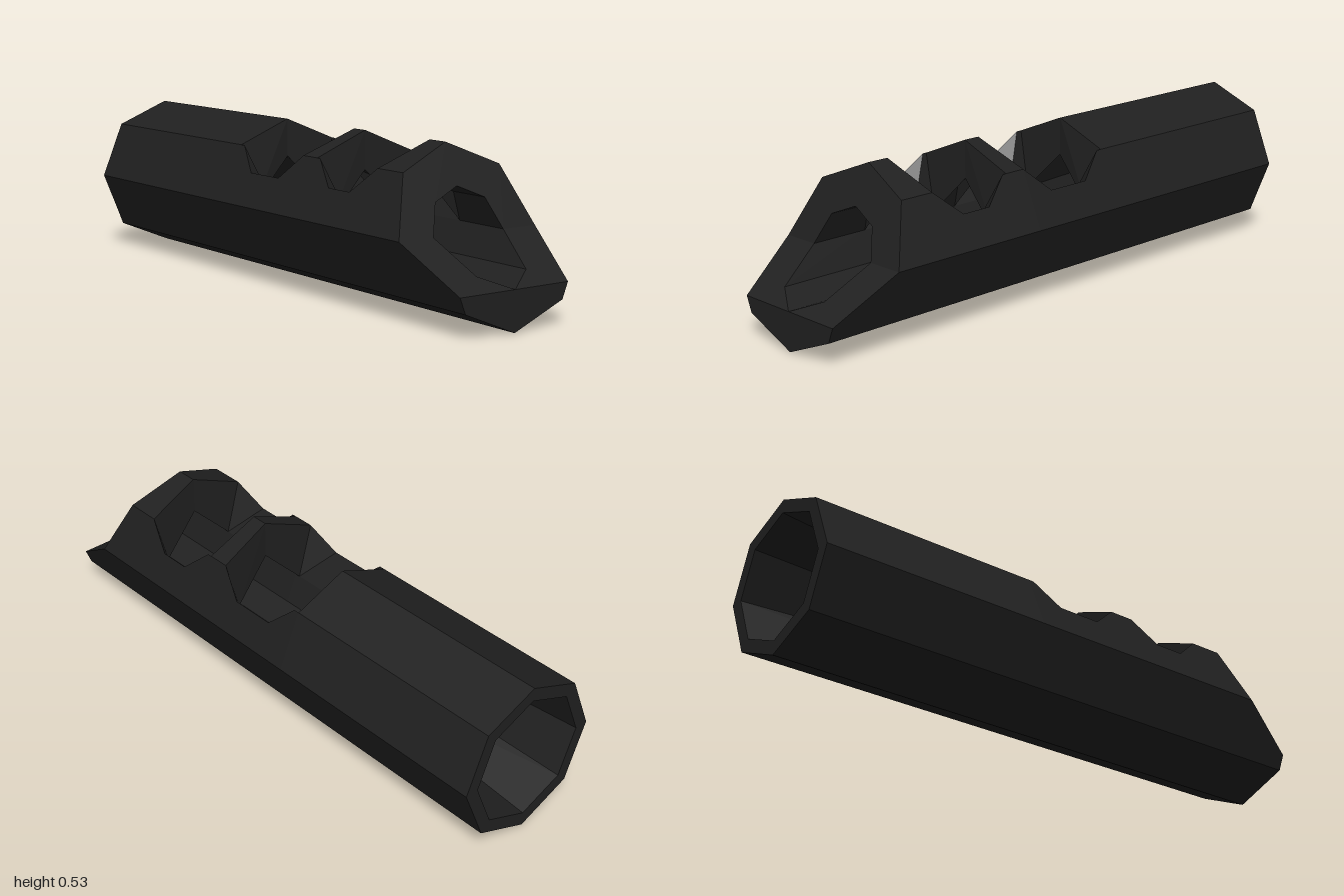
import * as THREE from 'three';

const CY = 0.267; // height of the tube axis

// half-width of the outer octagon's upper side face at height y
const sideZ = (y) => 0.267 - (0.078 * Math.abs(y - CY)) / 0.189;

// x of the slanted muzzle cut at height y
const tipX = (y) => {
  if (y <= 0.13) return 1;
  if (y <= CY) return 1 - (0.21 * (y - 0.13)) / (CY - 0.13);
  return 0.79 - (0.115 * (y - CY)) / 0.266;
};

// Half cross-section [z, y]: up the outside, then down the bore (bore scaled by k)
function ring(x, k = 1) {
  const outer = [[0, 0], [0.189, 0.078], [0.21, 0.13], [0.267, CY], [0.189, 0.456], [0, 0.533]];
  const bore = [[0, 0.137], [0.097, 0.097], [0.137, 0], [0.097, -0.097], [0, -0.137]]
    .map(([z, dy]) => [z * k, CY + dy * k]);
  const pts = [...outer, ...bore].map(([z, y]) => [x === null ? tipX(y) : x, y, z]);
  return { pts, full: true };
}

// Cross-section in a port: the roof is gone, a sloping ledge joins outside and bore
function port(x, h) {
  const { pts } = ring(x);
  pts[4] = [x, h, sideZ(h)];
  for (const i of [5, 6, 7]) pts[i] = pts[8];
  return { pts, full: false };
}

export function createModel() {
  const black = new THREE.MeshStandardMaterial({ color: 0x202020 });
  black.name = 'black';

  const stations = [
    ring(-1, 1.6), ring(-0.17),
    // first port
    port(-0.15, 0.456), port(-0.06, 0.375), port(0.1, 0.375), port(0.195, 0.456),
    ring(0.213), ring(0.272),
    // second port
    port(0.287, 0.456), port(0.378, 0.375), port(0.487, 0.375), port(0.585, 0.456),
    ring(0.6),
    // slanted muzzle
    ring(null),
  ];

  const verts = [];
  const tri = (a, b, c) => {
    const u = new THREE.Vector3(...b).sub(new THREE.Vector3(...a));
    const v = new THREE.Vector3(...c).sub(new THREE.Vector3(...a));
    if (u.cross(v).length() < 1e-7) return;
    verts.push(...a, ...b, ...c);
    // mirrored half
    for (const p of [a, c, b]) verts.push(p[0], p[1], -p[2]);
  };
  const face = (p) => {
    for (let i = 1; i < p.length - 1; i++) tri(p[0], p[i], p[i + 1]);
  };

  // walls between stations
  for (let s = 0; s < stations.length - 1; s++) {
    const p = stations[s], q = stations[s + 1];
    for (let j = 0; j < 10; j++) {
      if (j === 5 && p.full && q.full) continue;
      face([p.pts[j], q.pts[j], q.pts[j + 1], p.pts[j + 1]]);
    }
  }

  // rear rim and muzzle face
  const rear = stations[0].pts;
  const tip = stations[stations.length - 1].pts;
  const sides = [[2, 3, 8, 9], [3, 4, 7, 8], [4, 5, 6, 7]];
  for (const f of [[0, 1, 9, 10], [1, 2, 9], ...sides]) face(f.map((i) => rear[i]));
  for (const f of [[0, 1, 2, 10], [2, 9, 10], ...sides]) face(f.map((i) => tip[i]).reverse());

  const geo = new THREE.BufferGeometry();
  geo.setAttribute('position', new THREE.Float32BufferAttribute(verts, 3));
  geo.computeVertexNormals();

  const tube = new THREE.Mesh(geo, black);
  tube.name = 'portedTube';
  const group = new THREE.Group();
  group.name = 'muzzleDevice';
  group.add(tube);
  return group;
}
